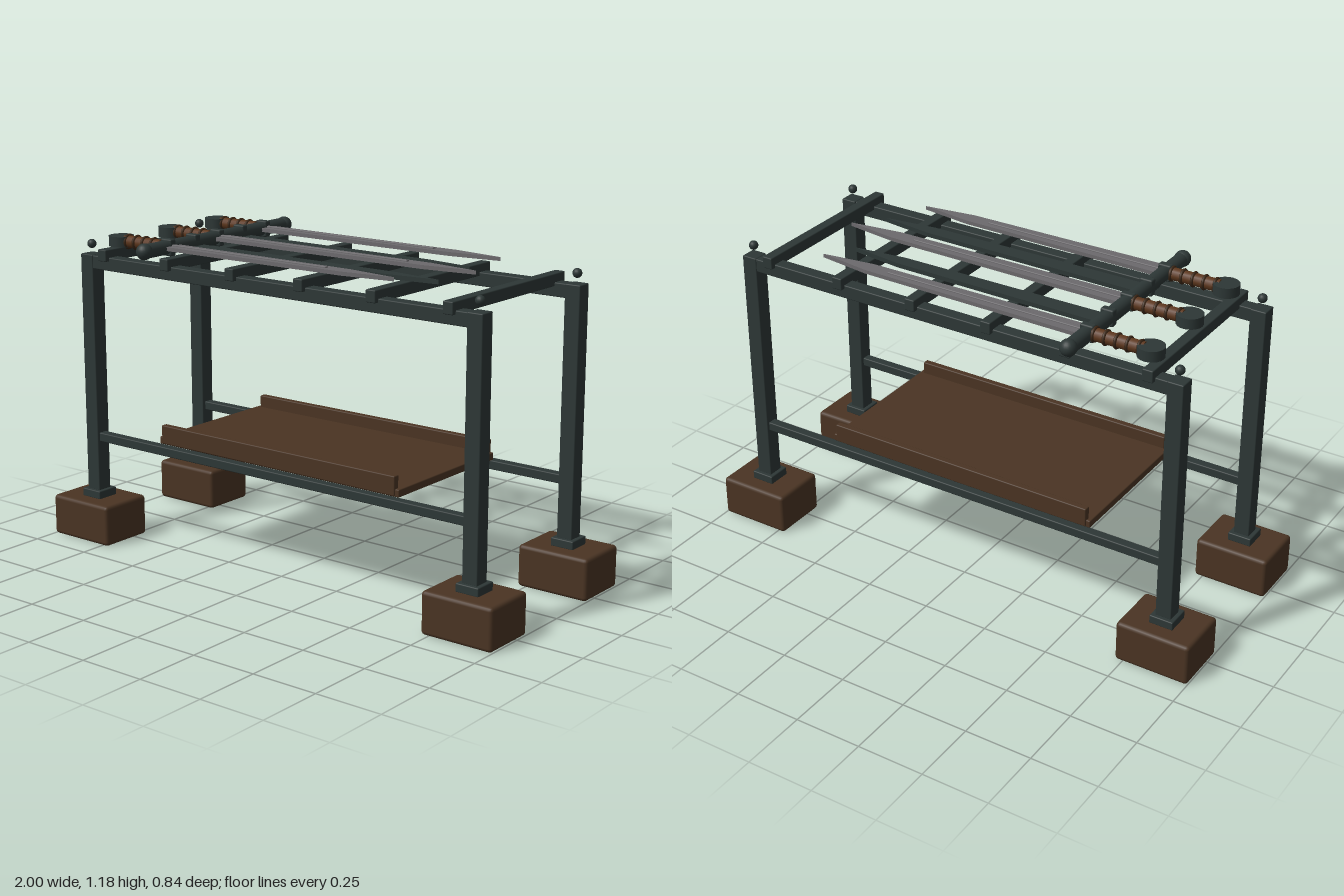
import * as THREE from 'three';
import { RoundedBoxGeometry } from 'three/addons/geometries/RoundedBoxGeometry.js';

const mat = (name, color) => {
  const m = new THREE.MeshStandardMaterial({ color });
  m.name = name;
  return m;
};

export function createModel() {
  const root = new THREE.Group();
  root.name = 'swordRack';
  const iron = mat('dark iron', 0x2d3736);
  const wood = mat('brown wood', 0x4a3423);
  const steel = mat('grey steel', 0x6c6a6d);
  const leather = mat('grip leather', 0x5c361c);
  const cord = mat('grip cord', 0x3c2716);

  const add = (name, geo, material, x, y, z, parent = root) => {
    const m = new THREE.Mesh(geo, material);
    m.name = name;
    m.position.set(x, y, z);
    parent.add(m);
    return m;
  };
  const box = (name, w, h, d, material, x, y, z, r = 0.004, parent = root) =>
    add(name, new RoundedBoxGeometry(w, h, d, 2, r), material, x, y, z, parent);

  // Four corner posts on wooden blocks
  for (const sx of [-1, 1]) for (const sz of [-1, 1]) {
    const x = sx * 0.86, z = sz * 0.298;
    box('footBlock', 0.28, 0.155, 0.215, wood, x, 0.0775, z, 0.014);
    box('postPlate', 0.09, 0.032, 0.09, iron, x, 0.169, z);
    box('post', 0.06, 0.91, 0.06, iron, x, 0.637, z);
    add('finial', new THREE.SphereGeometry(0.017, 16, 12), iron, x, 1.128, z);
  }

  // Long rails and shelf lips
  for (const s of [-1, 1]) {
    box('topRail', 1.68, 0.05, 0.05, iron, 0, 1.065, s * 0.3);
    box('lowerRail', 1.68, 0.034, 0.036, iron, 0, 0.393, s * 0.3);
    box('shelfLip', 1.06, 0.07, 0.026, wood, 0, 0.45, s * 0.283);
  }
  box('shelf', 1.09, 0.028, 0.58, wood, 0, 0.425, 0);

  // Cross bars
  for (let i = 0; i < 6; i++) {
    box('crossBar', 0.04, 0.044, 0.685, iron, -0.767 + i * 0.3065, 1.098, 0);
  }

  // Round guard bar with ball ends
  const guard = new THREE.Group();
  guard.name = 'guardBar';
  guard.position.set(-0.505, 1.148, 0);
  root.add(guard);
  add('bar', new THREE.CylinderGeometry(0.026, 0.026, 0.78, 20), iron, 0, 0, 0, guard).rotation.x = Math.PI / 2;
  for (const s of [-1, 1]) {
    add('barEnd', new THREE.SphereGeometry(0.03, 20, 14), iron, 0, 0, s * 0.391, guard);
  }
  for (let i = -2; i <= 2; i++) {
    box('collar', 0.05, 0.062, 0.028, iron, 0, 0, i * 0.133, 0.006, guard);
  }

  // Flat tapering blade along x
  const bladeGeo = (tip, w, t) => {
    const a = -0.49, b = tip - 0.2;
    const s = new THREE.Shape([
      [a, -w / 2], [b, -w * 0.38], [tip, 0], [b, w * 0.38], [a, w / 2]
    ].map(p => new THREE.Vector2(...p)));
    const g = new THREE.ExtrudeGeometry(s, { depth: t, bevelEnabled: false });
    g.translate(0, 0, -t / 2);
    return g.rotateX(-Math.PI / 2);
  };

  // Three gripped swords
  [[-0.266, 0.57], [0, 0.645], [0.266, 0.5]].forEach(([z, tip]) => {
    const sword = new THREE.Group();
    sword.name = 'sword';
    sword.position.set(0, 1.148, z);
    root.add(sword);
    add('blade', bladeGeo(tip, 0.072, 0.014), steel, 0, 0, 0, sword);
    box('bladeRidge', tip + 0.21, 0.024, 0.016, steel, (tip - 0.77) / 2, 0, 0, 0.003, sword);
    add('grip', new THREE.CylinderGeometry(0.023, 0.023, 0.21, 16), leather, -0.61, 0, 0, sword).rotation.z = Math.PI / 2;
    for (let i = 0; i < 5; i++) {
      add('gripRing', new THREE.TorusGeometry(0.023, 0.006, 8, 18), cord, -0.7 + i * 0.042, 0, 0, sword).rotation.y = Math.PI / 2;
    }
    add('pommel', new THREE.CylinderGeometry(0.047, 0.047, 0.038, 20), iron, -0.738, 0, 0, sword);
  });

  // Two dark blades between them
  [[-0.133, 0.53], [0.133, 0.585]].forEach(([z, tip]) => {
    add('darkBlade', bladeGeo(tip, 0.068, 0.016), iron, 0, 1.129, z);
  });

  return root;
}
